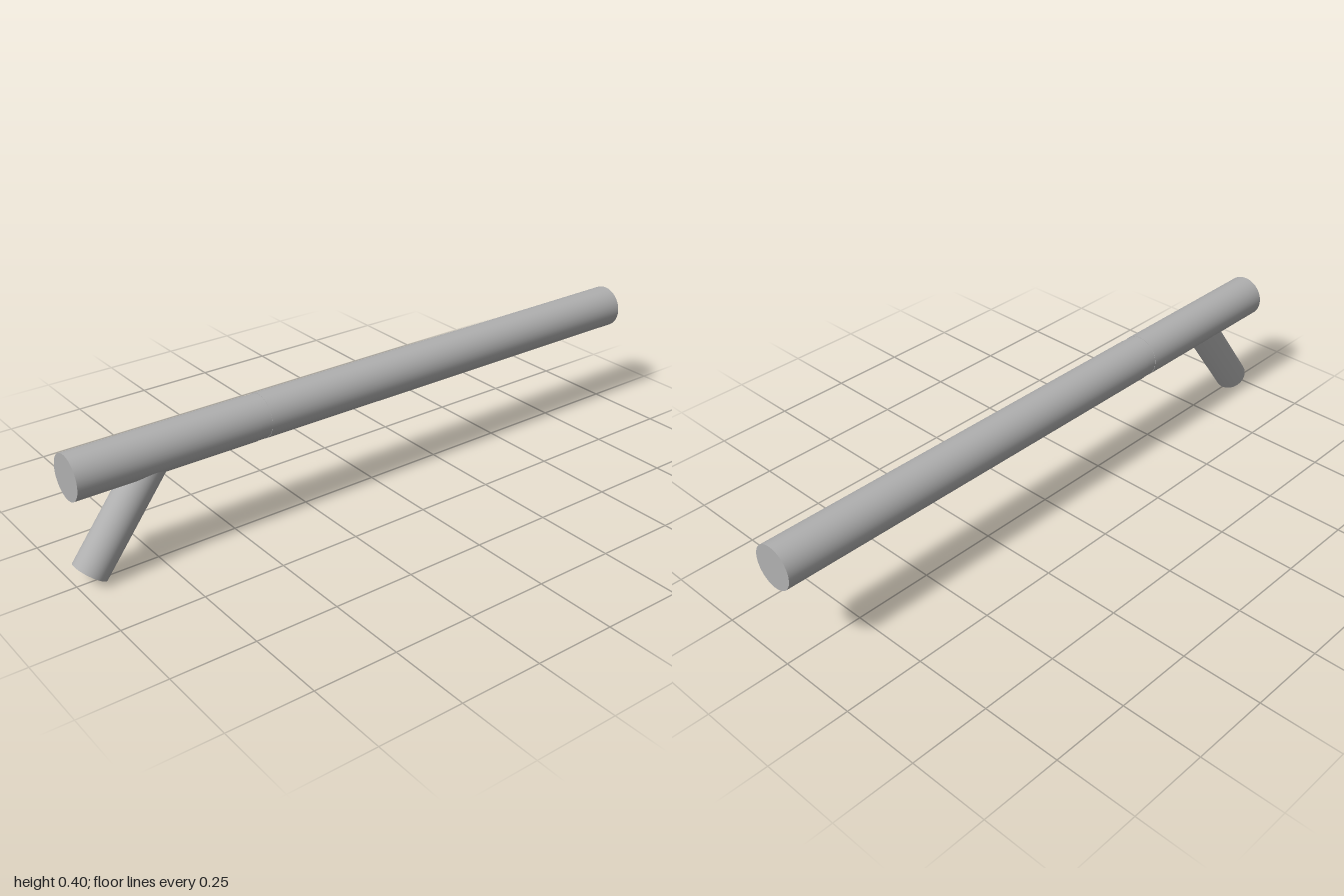
import * as THREE from 'three';

export function createModel() {
  const model = new THREE.Group();
  const grey = new THREE.MeshStandardMaterial({ color: 0xb0b0b0 });
  grey.name = 'plain grey';

  // Closed round bar running between two points in the xy plane
  function bar(name, radius, x0, y0, x1, y1) {
    const from = new THREE.Vector3(x0, y0, 0);
    const to = new THREE.Vector3(x1, y1, 0);
    const dir = to.clone().sub(from);
    const mesh = new THREE.Mesh(new THREE.CylinderGeometry(radius, radius, dir.length(), 64), grey);
    mesh.name = name;
    mesh.position.copy(from).add(to).multiplyScalar(0.5);
    mesh.quaternion.setFromUnitVectors(new THREE.Vector3(0, 1, 0), dir.normalize());
    model.add(mesh);
  }

  const axisY = 0.334;

  // Long tube: rear body, narrow collar and front barrel
  bar('rearBody', 0.067, -0.995, axisY, -0.435, axisY);
  bar('collar', 0.066, -0.435, axisY, -0.4, axisY);
  bar('frontBarrel', 0.067, -0.4, axisY, 1, axisY);

  // Slanted grip, its upper end buried in the rear body
  bar('grip', 0.053, -0.958, 0.032, -0.742, 0.32);

  return model;
}
